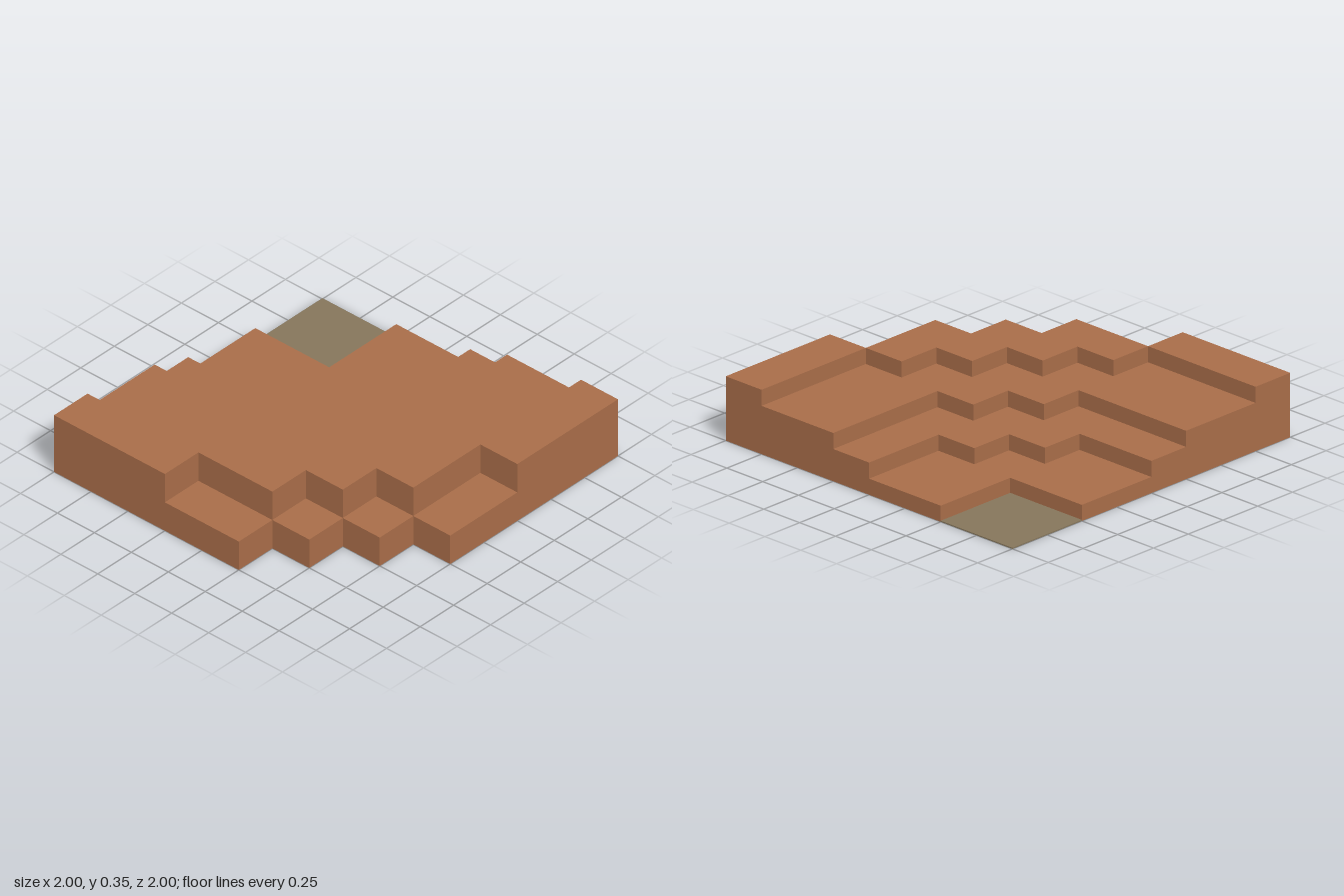
import * as THREE from 'three';

// Height level of every cell; rows run back to front, columns along +x.
// 'o' is the low outer ledge, '.' is empty.
const PLAN = [
  '00112334',
  '00112334',
  '11122334',
  '1122334o',
  '2223344o',
  '333344o.',
  '33344o..',
  '444oo...',
];
const CELL = 0.25;
const HEIGHT = { 0: 0.006, 1: 0.0875, 2: 0.175, 3: 0.2625, 4: 0.35, o: 0.175, '.': 0 };
const PARTS = { 0: 'centreFloor', 1: 'lowestStep', 2: 'middleStep', 3: 'upperStep', 4: 'rim', o: 'outerLedge' };

const levelAt = (col, row) => PLAN[row]?.[col] ?? '.';

// Surface of all cells of one level: top, underside and exposed walls only.
function terraceGeometry(level) {
  const positions = [];
  const quad = (a, b, c, d) => positions.push(...a, ...b, ...c, ...a, ...c, ...d);
  const top = HEIGHT[level];

  for (let row = 0; row < 8; row++) {
    for (let col = 0; col < 8; col++) {
      if (levelAt(col, row) !== level) continue;
      const x0 = -1 + col * CELL, x1 = x0 + CELL;
      const z0 = -1 + row * CELL, z1 = z0 + CELL;

      quad([x0, top, z0], [x0, top, z1], [x1, top, z1], [x1, top, z0]);
      quad([x0, 0, z0], [x1, 0, z0], [x1, 0, z1], [x0, 0, z1]);

      // Walls: neighbour offset, then wall start and end seen from outside, left to right
      const walls = [
        [0, 1, x0, z1, x1, z1],
        [1, 0, x1, z1, x1, z0],
        [0, -1, x1, z0, x0, z0],
        [-1, 0, x0, z0, x0, z1],
      ];
      for (const [dc, dr, ax, az, bx, bz] of walls) {
        const low = HEIGHT[levelAt(col + dc, row + dr)];
        if (low < top) quad([ax, low, az], [bx, low, bz], [bx, top, bz], [ax, top, az]);
      }
    }
  }

  const geometry = new THREE.BufferGeometry();
  geometry.setAttribute('position', new THREE.Float32BufferAttribute(positions, 3));
  geometry.computeVertexNormals();
  return geometry;
}

export function createModel() {
  const clay = new THREE.MeshStandardMaterial({ color: 0xa96d49 });
  clay.name = 'clay brown';
  const floor = new THREE.MeshStandardMaterial({ color: 0x86765b });
  floor.name = 'olive floor';

  const model = new THREE.Group();
  model.name = 'terracedCorner';
  for (const [level, name] of Object.entries(PARTS)) {
    const mesh = new THREE.Mesh(terraceGeometry(level), level === '0' ? floor : clay);
    mesh.name = name;
    model.add(mesh);
  }
  return model;
}
